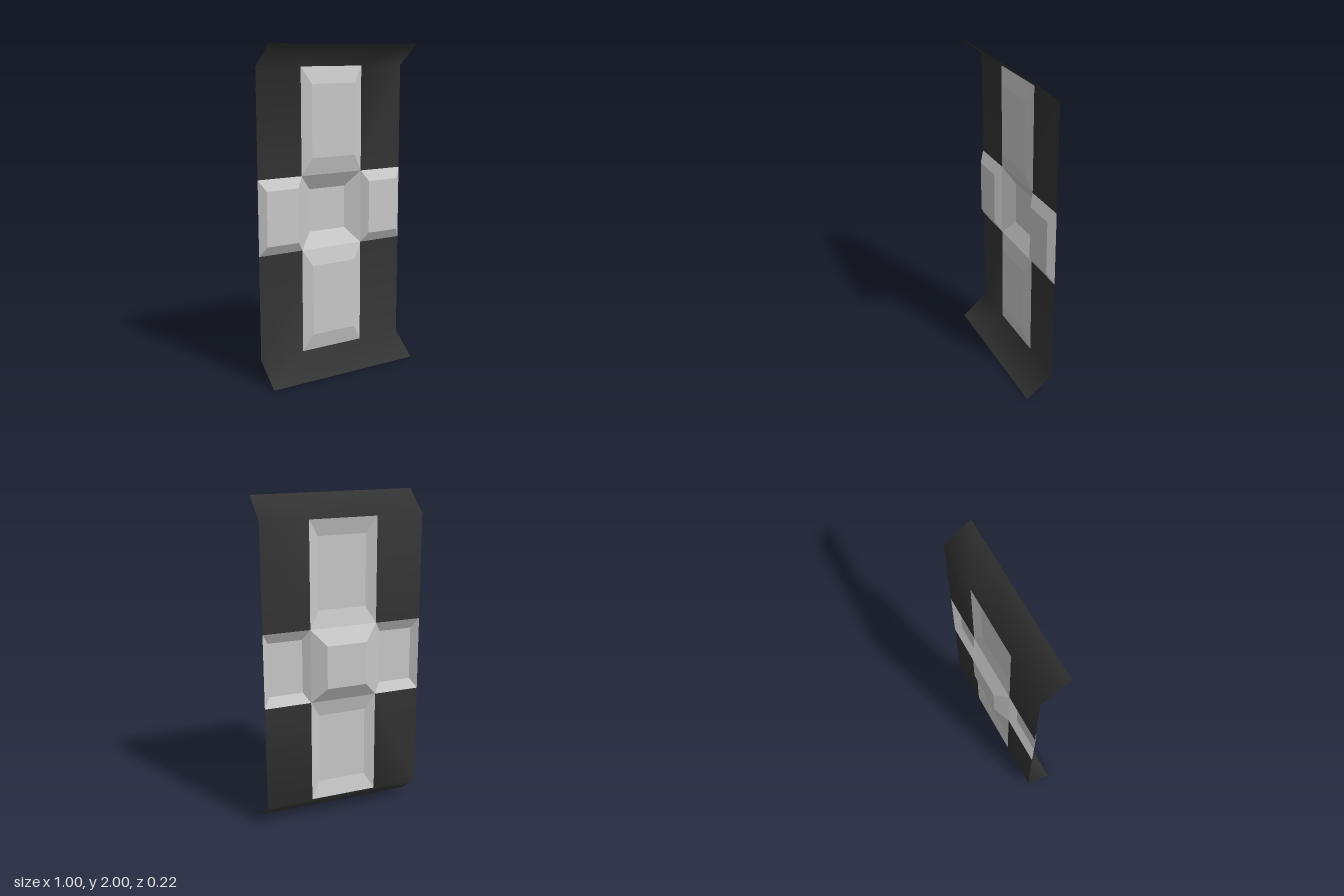
import * as THREE from 'three';

const BACK = -0.055; // plane of the sheet

function mesh(name, points, quads, material, flat) {
  let geo = new THREE.BufferGeometry();
  geo.setAttribute('position', new THREE.Float32BufferAttribute(points.flat(), 3));
  geo.setIndex(quads.flatMap(([a, b, c, d]) => [a, b, c, a, c, d]));
  if (flat) geo = geo.toNonIndexed();
  geo.computeVertexNormals();
  const m = new THREE.Mesh(geo, material);
  m.name = name;
  return m;
}

// Open bevelled pane: outer rectangle on the sheet, inner rectangle at depth z
function pane(name, outer, inner, z, material) {
  const ring = ([x0, x1, y0, y1], d) => [[x0, y0, d], [x1, y0, d], [x1, y1, d], [x0, y1, d]];
  const quads = [[4, 5, 6, 7]];
  for (let i = 0; i < 4; i++) {
    const j = (i + 1) % 4;
    quads.push([i, j, 4 + j, 4 + i]);
  }
  return mesh(name, [...ring(outer, BACK), ...ring(inner, z)], quads, material, true);
}

export function createModel() {
  const group = new THREE.Group();
  const dark = new THREE.MeshStandardMaterial({ color: 0x333333, side: THREE.DoubleSide });
  dark.name = 'dark frame';
  const light = new THREE.MeshStandardMaterial({ color: 0xc8c8c8, side: THREE.DoubleSide });
  light.name = 'pale glass';

  // Sheet with cross-shaped opening and flared top and bottom flanges
  const xs = [-0.5, -0.21, 0.21, 0.5];
  const rows = [[0, 0.11], [0.13, BACK], [0.775, BACK], [1.23, BACK], [1.87, BACK], [2, 0.11]];
  const points = rows.flatMap(([y, z]) => xs.map((x) => [x, y, z]));
  const quads = [];
  for (let r = 0; r < 5; r++) {
    for (let c = 0; c < 3; c++) {
      const flange = r === 0 || r === 4;
      if (!flange && (r === 2 || c === 1)) continue;
      const a = r * 4 + c;
      quads.push([a, a + 1, a + 5, a + 4]);
    }
  }
  group.add(mesh('frameSheet', points, quads, dark, false));

  // Panes filling the cross
  group.add(pane('upperPane', [-0.21, 0.21, 1.23, 1.87], [-0.15, 0.15, 1.335, 1.77], -0.03, light));
  group.add(pane('lowerPane', [-0.21, 0.21, 0.13, 0.775], [-0.15, 0.15, 0.235, 0.675], -0.03, light));
  group.add(pane('centrePane', [-0.21, 0.21, 0.775, 1.23], [-0.125, 0.125, 0.87, 1.135], -0.112, light));
  group.add(pane('leftPane', [0.21, 0.5, 0.775, 1.23], [0.25, 0.46, 0.835, 1.165], -0.02, light));
  group.add(pane('rightPane', [-0.5, -0.21, 0.775, 1.23], [-0.46, -0.25, 0.835, 1.165], -0.02, light));
  return group;
}
